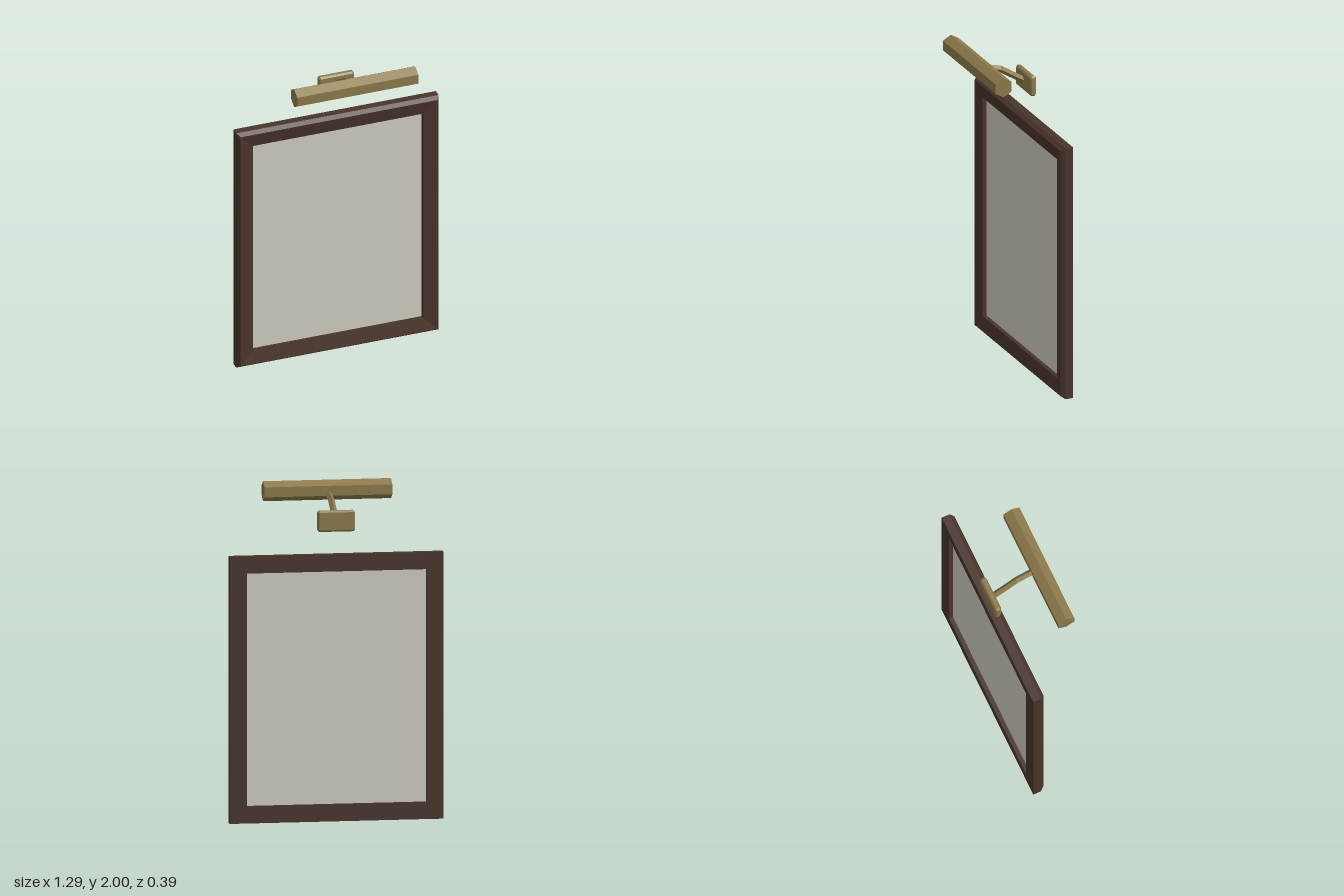
import * as THREE from 'three';

const material = (color, extra = {}) => new THREE.MeshStandardMaterial({ color, flatShading: true, ...extra });

function addMesh(parent, name, geometry, mat, x = 0, y = 0, z = 0) {
  const mesh = new THREE.Mesh(geometry, mat);
  mesh.name = name;
  mesh.position.set(x, y, z);
  parent.add(mesh);
  return mesh;
}

// Sweeps a closed [inset, z] profile round a rectangle with mitred corners
function mitredFrame(halfW, halfH, profile) {
  const corners = [[1, 1], [-1, 1], [-1, -1], [1, -1]];
  const point = (i, j) => {
    const [sx, sy] = corners[i % 4];
    const [inset, z] = profile[j % profile.length];
    return [sx * (halfW - inset), sy * (halfH - inset), z];
  };
  const positions = [];
  for (let i = 0; i < 4; i++) {
    for (let j = 0; j < profile.length; j++) {
      const a = point(i, j), b = point(i + 1, j), c = point(i + 1, j + 1), d = point(i, j + 1);
      positions.push(...a, ...b, ...c, ...a, ...c, ...d);
    }
  }
  const geometry = new THREE.BufferGeometry();
  geometry.setAttribute('position', new THREE.Float32BufferAttribute(positions, 3));
  geometry.computeVertexNormals();
  return geometry;
}

// Plate with clipped corners and chamfered front and back edges, centred on z
function chamferedPlate(width, height, depth, bevel) {
  const w = width / 2 - bevel, h = height / 2 - bevel, c = 0.004;
  const shape = new THREE.Shape([
    [w - c, -h], [w, -h + c], [w, h - c], [w - c, h],
    [-w + c, h], [-w, h - c], [-w, -h + c], [-w + c, -h],
  ].map(([x, y]) => new THREE.Vector2(x, y)));
  const geometry = new THREE.ExtrudeGeometry(shape, {
    depth: depth - 2 * bevel, bevelSize: bevel, bevelThickness: bevel, bevelSegments: 1,
  });
  geometry.translate(0, 0, -depth / 2 + bevel);
  return geometry;
}

export function createModel() {
  const model = new THREE.Group();
  const wood = material(0x49342b);
  const brass = material(0x8d7a4b);
  const canvas = material(0xcfcbbe);

  // Picture: frame face slopes in towards the canvas
  const picture = new THREE.Group();
  picture.name = 'picture';
  model.add(picture);
  const profile = [[0, -0.195], [0, -0.145], [0.018, -0.12], [0.102, -0.135], [0.102, -0.195]];
  addMesh(picture, 'frame', mitredFrame(0.643, 0.8, profile), wood, 0, 0.8, 0);
  addMesh(picture, 'canvas', new THREE.BoxGeometry(1.09, 1.404, 0.008), canvas, 0, 0.8, -0.165);

  // Picture light above the frame
  const light = new THREE.Group();
  light.name = 'pictureLight';
  model.add(light);
  addMesh(light, 'wallPlate', chamferedPlate(0.226, 0.126, 0.04, 0.01), brass, 0, 1.798, -0.175);

  // Bent arm of square section
  const path = new THREE.CatmullRomCurve3([
    new THREE.Vector3(0, 1.803, -0.16),
    new THREE.Vector3(0, 1.902, 0),
    new THREE.Vector3(0, 1.944, 0.17),
  ]);
  addMesh(light, 'arm', new THREE.TubeGeometry(path, 2, 0.02, 4), brass);

  // Six-sided lamp shade lying along x
  const shade = new THREE.CylinderGeometry(0.06, 0.06, 0.77, 6);
  shade.rotateY(Math.PI / 2);
  shade.rotateZ(Math.PI / 2);
  addMesh(light, 'lampShade', shade, brass, 0, 1.94, 0.141);

  return model;
}
